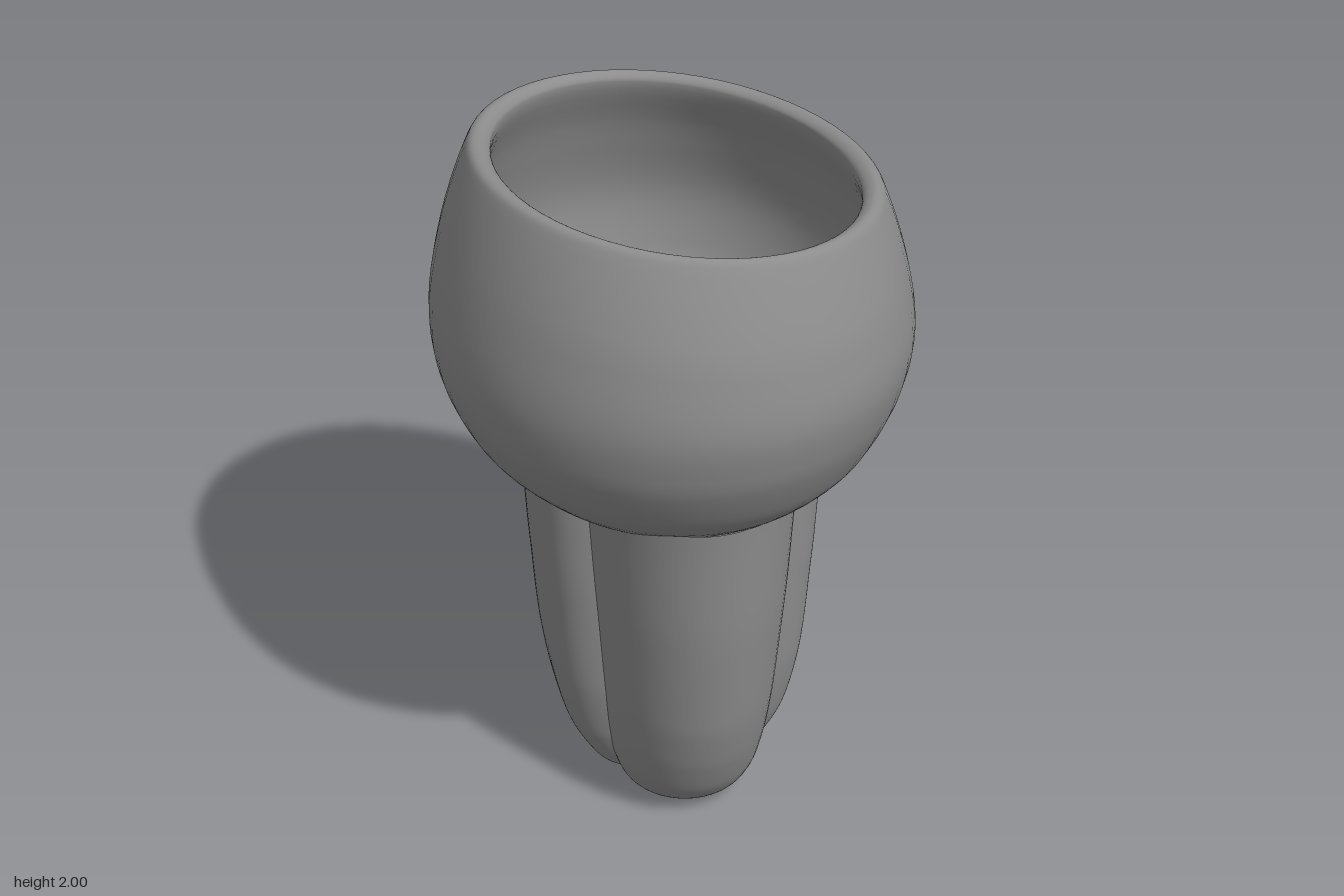
import * as THREE from 'three';

// Smooth skin over oval sections: rows of [y, halfWidth, zFront, zBack], bottom to top.
// mid places the widest point between back (0) and front (1); the two powers set
// how square the front and back halves are.
function loft(rows, { mid = 0.5, frontPower = 2, backPower = 2, sides = 64, steps = 48, bend }) {
  const sizes = new THREE.CatmullRomCurve3(rows.map(r => new THREE.Vector3(r[0], r[1], 0)));
  const depths = new THREE.CatmullRomCurve3(rows.map(r => new THREE.Vector3(r[2], r[3], 0)));
  const pos = [], idx = [];
  const p = new THREE.Vector3();
  for (let j = 0; j <= steps; j++) {
    const s = sizes.getPoint(j / steps), d = depths.getPoint(j / steps);
    const centre = THREE.MathUtils.lerp(d.y, d.x, mid);
    for (let i = 0; i < sides; i++) {
      const a = (i / sides) * Math.PI * 2, front = Math.sin(a) >= 0;
      const power = front ? frontPower : backPower;
      const round = v => Math.sign(v) * Math.abs(v) ** (2 / power);
      const reach = front ? d.x - centre : centre - d.y;
      p.set(s.y * round(Math.cos(a)), Math.max(0, s.x), centre + reach * round(Math.sin(a)));
      bend(p);
      pos.push(p.x, p.y, p.z);
      if (j < steps) {
        const b = j * sides + i, n = j * sides + ((i + 1) % sides);
        idx.push(b, b + sides, n, n, b + sides, n + sides);
      }
    }
  }
  const g = new THREE.BufferGeometry();
  g.setAttribute('position', new THREE.Float32BufferAttribute(pos, 3));
  g.setIndex(idx);
  g.computeVertexNormals();
  return g;
}

export function createModel() {
  const group = new THREE.Group();
  const grey = new THREE.MeshStandardMaterial({ color: 0x8c8c8c, side: THREE.DoubleSide });
  grey.name = 'grey';
  const add = (name, geometry) => {
    const mesh = new THREE.Mesh(geometry, grey);
    mesh.name = name;
    group.add(mesh);
  };
  const smooth = THREE.MathUtils.smoothstep;

  // Hollow oval bowl: up the outside, over the lip and down to the inner floor
  const bowl = [
    [0.99, 0.001, 0.001], [1.005, 0.22, 0.27], [1.045, 0.42, 0.49], [1.12, 0.51, 0.6],
    [1.2, 0.58, 0.675], [1.35, 0.647, 0.75], [1.5, 0.667, 0.775], [1.7, 0.635, 0.735],
    [1.9, 0.57, 0.64], [1.935, 0.55, 0.618], [1.94, 0.525, 0.6], [1.915, 0.495, 0.58],
    [1.75, 0.55, 0.65], [1.5, 0.605, 0.71], [1.3, 0.565, 0.67], [1.15, 0.42, 0.5],
    [1.08, 0.2, 0.25], [1.06, 0.001, 0.001],
  ].map(([y, rx, rz]) => [y, rx, rz, -rz]);
  add('bowl', loft(bowl, {
    steps: 85,
    // The rim slopes down towards +x
    bend: p => {
      const k = smooth(p.y, 1.3, 1.92);
      p.y -= 0.109 * p.x * k;
      p.x += 0.02 * k;
    },
  }));

  // Stem tops follow the underside of the bowl
  const meetBowl = p => {
    const top = 0.98 + 0.14 * Math.min(1, (p.x / 0.58) ** 2 + (p.z / 0.6) ** 2);
    p.y += (top - 1) * smooth(p.y, 0.75, 1);
  };

  // Wide rear lobe of the stem: blunt shoulders in front, round behind, notched at the back
  add('rearStem', loft([
    [0, 0.001, -0.08, -0.081], [0, 0.15, 0.12, -0.38], [0.03, 0.24, 0.19, -0.47],
    [0.1, 0.29, 0.23, -0.535], [0.2, 0.335, 0.26, -0.57], [0.4, 0.375, 0.29, -0.595],
    [0.7, 0.4, 0.3, -0.6], [0.9, 0.415, 0.3, -0.58], [1, 0.425, 0.3, -0.565],
  ], {
    mid: 0.64, frontPower: 4, backPower: 2.05, sides: 160, steps: 72,
    bend: p => {
      meetBowl(p);
      const half = 0.17 * Math.max(0, (p.y - 0.66) / 0.4) ** 0.65;
      if (p.z < -0.3 && half > 0) p.z += 0.12 * (1 - smooth(Math.abs(p.x), half * 0.45, half));
    },
  }));

  // Narrow front lobe of the stem
  add('frontStem', loft([
    [0.01, 0.001, 0.18, 0.179], [0.01, 0.12, 0.3, 0.05], [0.04, 0.18, 0.38, 0],
    [0.12, 0.215, 0.445, -0.05], [0.25, 0.24, 0.5, -0.1], [0.4, 0.255, 0.54, -0.12],
    [0.7, 0.275, 0.58, -0.12], [1, 0.295, 0.61, -0.12],
  ], { bend: meetBowl }));

  return group;
}
